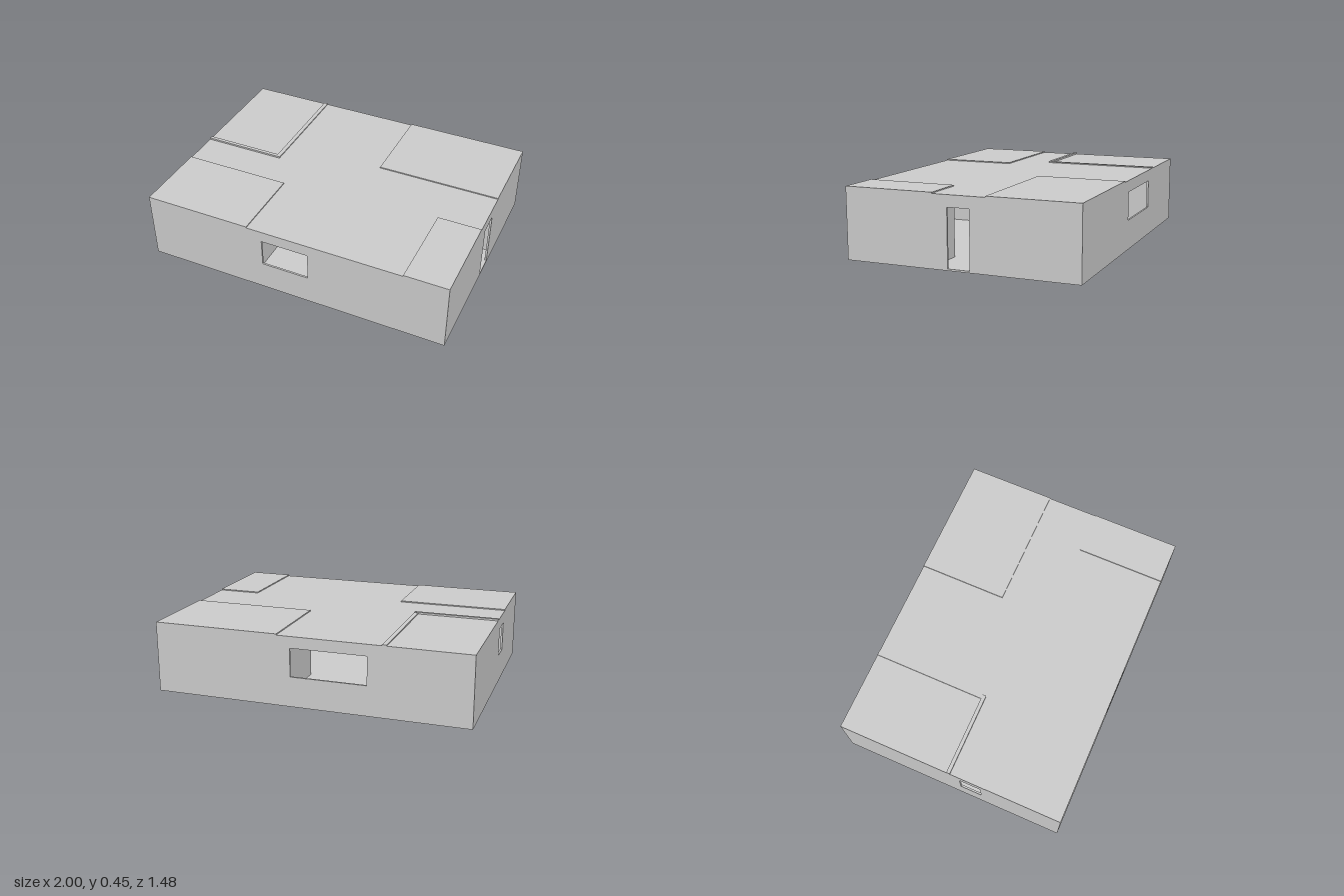
import * as THREE from 'three';

const W = 1, D = 0.74;        // half width, half depth
const FLOOR = 0.01, ROOF = 0.443, T = 0.012;

export function createModel() {
  const house = new THREE.Group();
  house.name = 'house';
  const mat = new THREE.MeshStandardMaterial({ color: 0xcccccc, flatShading: true });

  // box given by its low and high corners
  function block(name, x0, x1, y0, y1, z0, z1) {
    const m = new THREE.Mesh(new THREE.BoxGeometry(x1 - x0, y1 - y0, z1 - z0), mat);
    m.name = name;
    m.position.set((x0 + x1) / 2, (y0 + y1) / 2, (z0 + z1) / 2);
    house.add(m);
    return m;
  }

  // upright panel with one rectangular opening [a0, a1, y0, y1]
  function wall(name, a, [h0, h1, y0, y1]) {
    const s = new THREE.Shape();
    s.moveTo(-a, FLOOR).lineTo(a, FLOOR).lineTo(a, ROOF - T).lineTo(-a, ROOF - T).closePath();
    const h = new THREE.Path();
    h.moveTo(h0, y0).lineTo(h0, y1).lineTo(h1, y1).lineTo(h1, y0).closePath();
    s.holes.push(h);
    const m = new THREE.Mesh(new THREE.ExtrudeGeometry(s, { depth: T, bevelEnabled: false }), mat);
    m.name = name;
    house.add(m);
    return m;
  }

  // floor and hall roof
  block('floor', -W, W, 0, FLOOR, -D, D);
  block('hallRoof', -W, W, ROOF - T, ROOF, -D, D);

  // outer walls with windows and door
  wall('frontWall', W, [-0.2, 0.11, 0.19, 0.37]).position.z = D - T;
  wall('backWall', W, [-0.37, 0.11, 0.19, 0.37]).position.z = -D;
  const doorWall = wall('doorWall', D - T, [-0.07, 0.07, FLOOR + 0.001, 0.37]);
  doorWall.rotation.y = Math.PI / 2;
  doorWall.position.x = W - T;
  const sideWall = wall('sideWindowWall', D - T, [-0.21, -0.07, 0.19, 0.37]);
  sideWall.rotation.y = Math.PI / 2;
  sideWall.position.x = -W;

  // corner rooms: inner corner, signs toward the outer corner
  const rooms = [
    { name: 'frontRightRoom', x: -0.3, z: 0.25, sx: -1, sz: 1 },
    { name: 'backLeftRoom', x: 0.195, z: -0.17, sx: 1, sz: -1 },
    { name: 'frontLeftRoom', x: 0.72, z: 0.165, sx: 1, sz: 1 },
  ];
  const span = (a, b) => [Math.min(a, b), Math.max(a, b)];
  for (const { name, x, z, sx, sz } of rooms) {
    const xs = span(x, sx * W), zs = span(z, sz * D);
    block(name + 'Roof', ...xs, ROOF, 0.45, ...zs);
    block(name + 'WallAlong', ...xs, FLOOR, ROOF - T, ...span(z, z + sz * T));
    block(name + 'WallAcross', ...span(x, x + sx * T), FLOOR, ROOF - T, ...zs);
  }

  // back right room, its partition walls rising above the roof
  block('backRightWallAlong', -W, -0.46, FLOOR, 0.454, -0.013, 0.01);
  block('backRightWallAcross', -0.487, -0.46, FLOOR, 0.45, -D, -0.013);

  return house;
}
